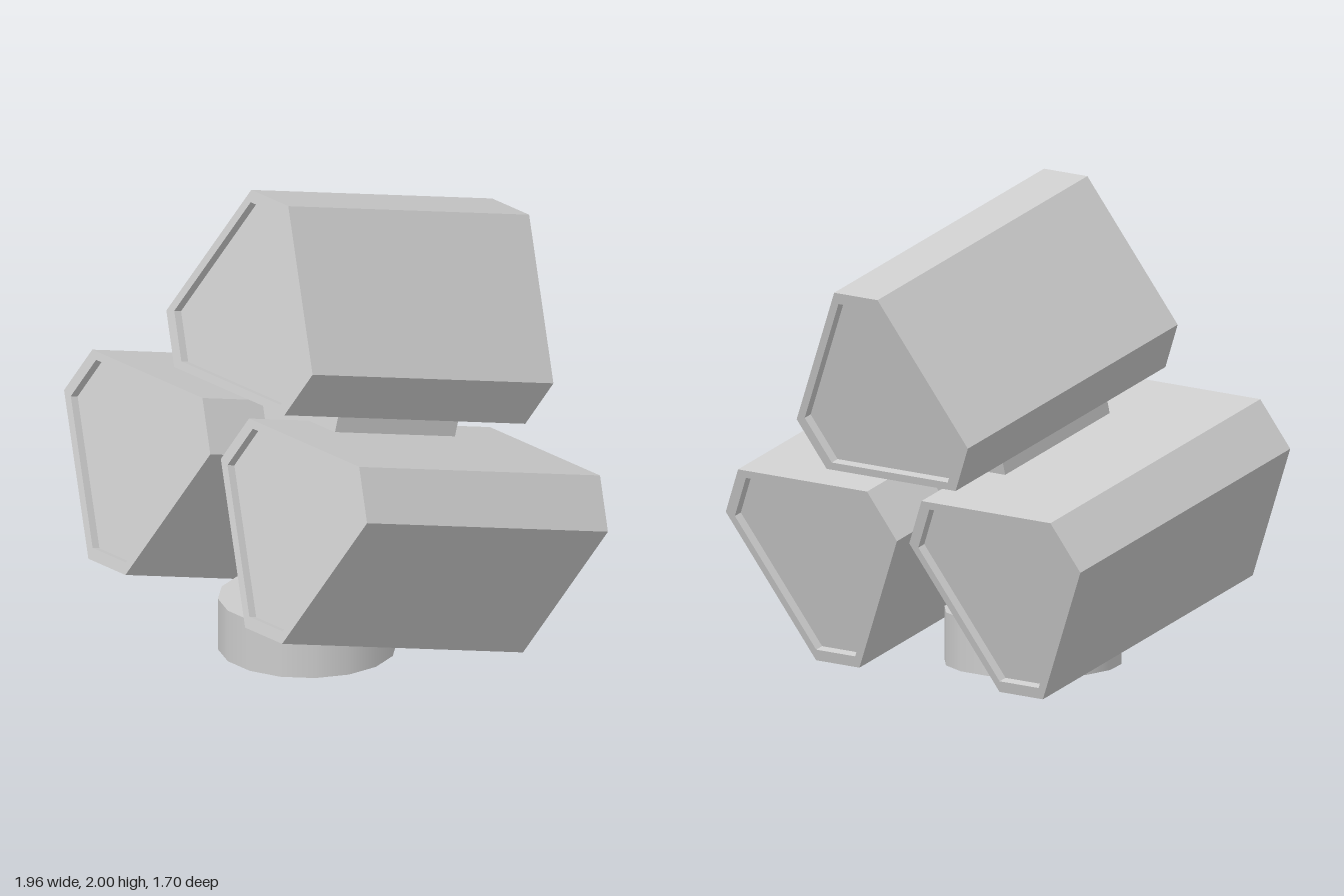
import * as THREE from 'three';

const grey = new THREE.MeshStandardMaterial({ color: 0xcccccc, flatShading: true });
const smooth = new THREE.MeshStandardMaterial({ color: 0xcccccc, side: THREE.DoubleSide });

const toPoints = (list) => list.map(([x, y]) => new THREE.Vector2(x, y));
// Right half of an outline, bottom to top, mirrored into a closed polygon
const mirrored = (half) => [...half, ...half.map(([x, y]) => [-x, y]).reverse()];

function prism(name, outline, depth, z, hole) {
  const shape = new THREE.Shape(toPoints(outline));
  if (hole) shape.holes.push(new THREE.Path(toPoints(hole)));
  const geometry = new THREE.ExtrudeGeometry(shape, { depth, bevelEnabled: false });
  const mesh = new THREE.Mesh(geometry, grey);
  mesh.name = name;
  mesh.position.z = z;
  return mesh;
}

// Blunted triangular pod with a recessed panel at each end
function createPod(name) {
  const length = 1.305, recess = 0.037;
  const outline = mirrored([[0.357, -0.33], [0.474, -0.125], [0.12, 0.488]]);
  const inner = outline.map(([x, y]) => [x * 0.9, y * 0.9]);
  const pod = new THREE.Group();
  pod.name = name;
  pod.add(
    prism('podShell', outline, length, -length / 2, inner),
    prism('podPanels', inner, length - 2 * recess, -length / 2 + recess),
  );
  return pod;
}

export function createModel() {
  const model = new THREE.Group();
  model.name = 'podCluster';

  // Tilted head carrying the three pods
  const head = new THREE.Group();
  head.name = 'tiltedHead';
  head.rotation.x = THREE.MathUtils.degToRad(-15);
  model.add(head);

  const top = createPod('topPod');
  top.position.set(0, 1.337, 0.262);
  head.add(top);
  for (const side of [1, -1]) {
    const pod = createPod(side > 0 ? 'leftPod' : 'rightPod');
    pod.position.set(side * 0.508, 0.604, 0.262);
    pod.rotation.z = Math.PI;
    head.add(pod);
  }

  // Hub filling the space between the pods
  const hubHalf = [
    [0.125, 0.287], [0.125, 0.452], [0.25, 0.56], [0.25, 0.72],
    [0.2, 0.86], [0.32, 0.92], [0.32, 1.02],
  ];
  head.add(prism('hub', mirrored(hubHalf), 0.65, -0.06));

  // Neck with a sloped front, drawn from the side and turned across x
  const neck = prism('neck', [[-0.42, 0.2], [-0.02, 0.2], [-0.02, 0.43], [-0.33, 0.43], [-0.42, 0.33]], 0.34, 0);
  neck.rotation.y = Math.PI / 2;
  neck.position.x = -0.17;
  model.add(neck);

  // Hollow round base: side wall open below, closed by a flat top
  const base = new THREE.Group();
  base.name = 'base';
  base.position.z = 0.215;
  const turn = Math.PI / 16;
  const wall = new THREE.Mesh(new THREE.CylinderGeometry(0.365, 0.365, 0.22, 16, 1, true, turn), smooth);
  wall.name = 'baseWall';
  wall.position.y = 0.11;
  const lid = new THREE.Mesh(new THREE.CircleGeometry(0.365, 16, turn), smooth);
  lid.name = 'baseTop';
  lid.rotation.x = -Math.PI / 2;
  lid.position.y = 0.22;
  base.add(wall, lid);
  model.add(base);

  return model;
}
